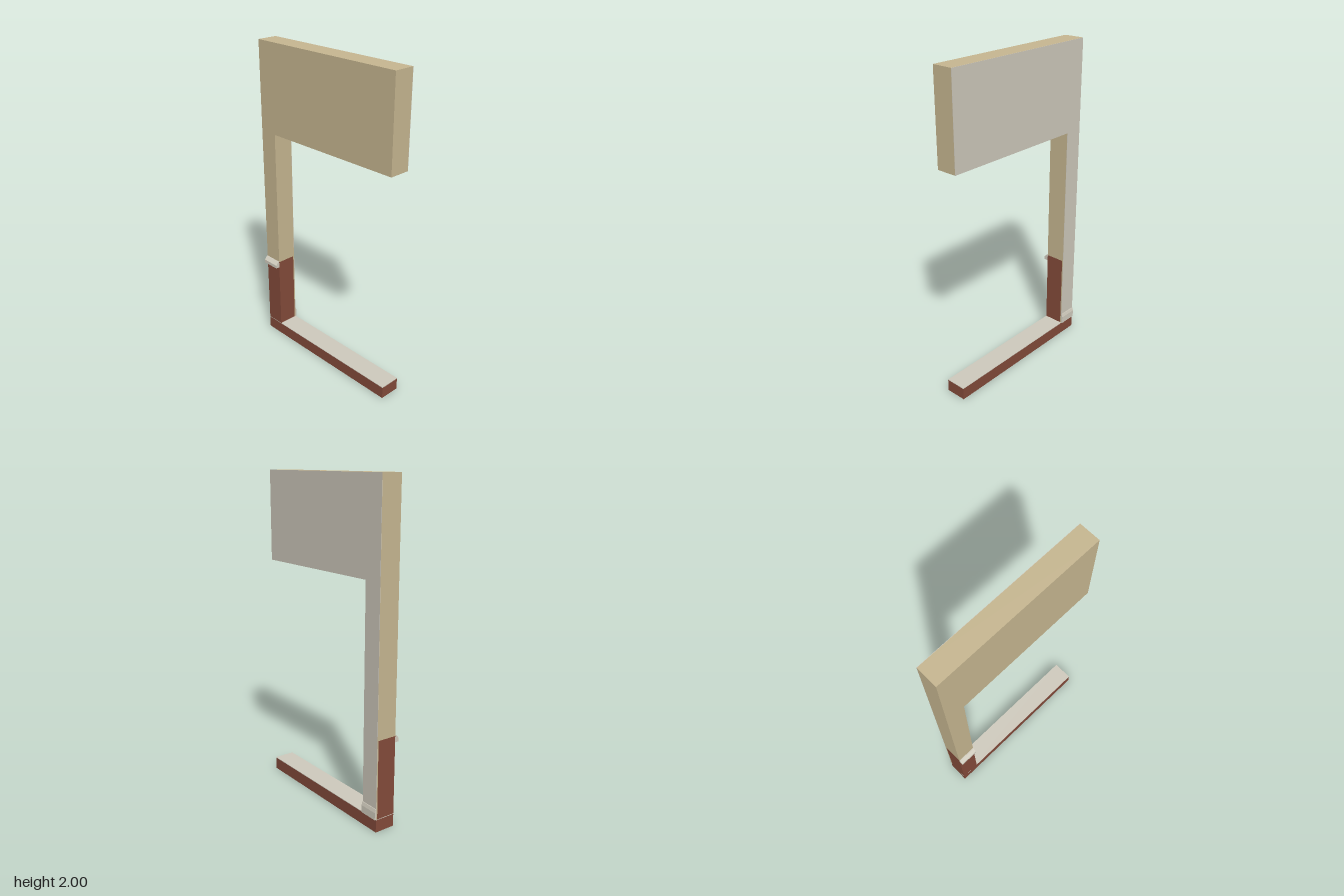
import * as THREE from 'three';

const material = (name, color) => {
  const m = new THREE.MeshStandardMaterial({ color });
  m.name = name;
  return m;
};

// Main edges of the wall section
const X0 = -0.533, X1 = 0.533, POST = -0.413;
const FRONT = 0.057, BACK = -0.074, LINING = -0.072, BRICK_BACK = -0.065;
const FLOOR = 0.08, BRICK_TOP = 0.56, HEAD = 1.443, TOP = 2;

export function createModel() {
  const group = new THREE.Group();
  const siding = material('siding', 0xc7b791);
  const brick = material('brick', 0x844b3a);
  const plaster = material('plaster', 0xcfcabd);
  const stone = material('stone', 0xd2cdbf);

  const add = (name, geometry, mat) => {
    const mesh = new THREE.Mesh(geometry, mat);
    mesh.name = name;
    group.add(mesh);
    return mesh;
  };
  // Box given by its limits
  const box = (name, mat, x0, x1, y0, y1, z0, z1) => {
    const mesh = add(name, new THREE.BoxGeometry(x1 - x0, y1 - y0, z1 - z0), mat);
    mesh.position.set((x0 + x1) / 2, (y0 + y1) / 2, (z0 + z1) / 2);
  };
  // Post and header outline, extruded between two depths
  const wall = (name, mat, bottom, z0, z1) => {
    const shape = new THREE.Shape([
      [X0, bottom], [POST, bottom], [POST, HEAD], [X1, HEAD], [X1, TOP], [X0, TOP],
    ].map(([x, y]) => new THREE.Vector2(x, y)));
    const geometry = new THREE.ExtrudeGeometry(shape, { depth: z1 - z0, bevelEnabled: false });
    add(name, geometry.translate(0, 0, z0), mat);
  };
  // Moulding with a [z, y] profile, running across the post
  const moulding = (name, mat, profile) => {
    const shape = new THREE.Shape(profile.map(([z, y]) => new THREE.Vector2(-z, y)));
    const geometry = new THREE.ExtrudeGeometry(shape, { depth: POST - X0, bevelEnabled: false });
    add(name, geometry.rotateY(Math.PI / 2).translate(X0, 0, 0), mat);
  };

  // Upper wall and the thin inside lining
  wall('sidedWall', siding, BRICK_TOP, LINING, FRONT);
  wall('plasterLining', plaster, FLOOR, BACK, LINING);

  // Brick facing on the post, with the wall core behind it
  box('brickPost', brick, X0, POST, FLOOR, BRICK_TOP, BRICK_BACK, FRONT);
  box('postCore', siding, X0, POST, FLOOR, BRICK_TOP, LINING, BRICK_BACK);

  // Foundation strip and its pale top
  box('brickFoundation', brick, X0, X1, 0, FLOOR - 0.004, BACK, FRONT);
  box('foundationTop', plaster, X0, X1, FLOOR - 0.004, FLOOR, BACK, FRONT);

  // Sloped sill over the brick and skirting board inside
  moulding('stoneSill', stone, [
    [FRONT, 0.522], [FRONT, 0.564], [0.064, 0.564], [0.083, 0.543], [0.083, 0.522],
  ]);
  moulding('skirtingBoard', stone, [
    [BACK, FLOOR], [-0.083, FLOOR], [-0.083, 0.125], [-0.078, 0.147], [BACK, 0.147],
  ]);

  return group;
}
